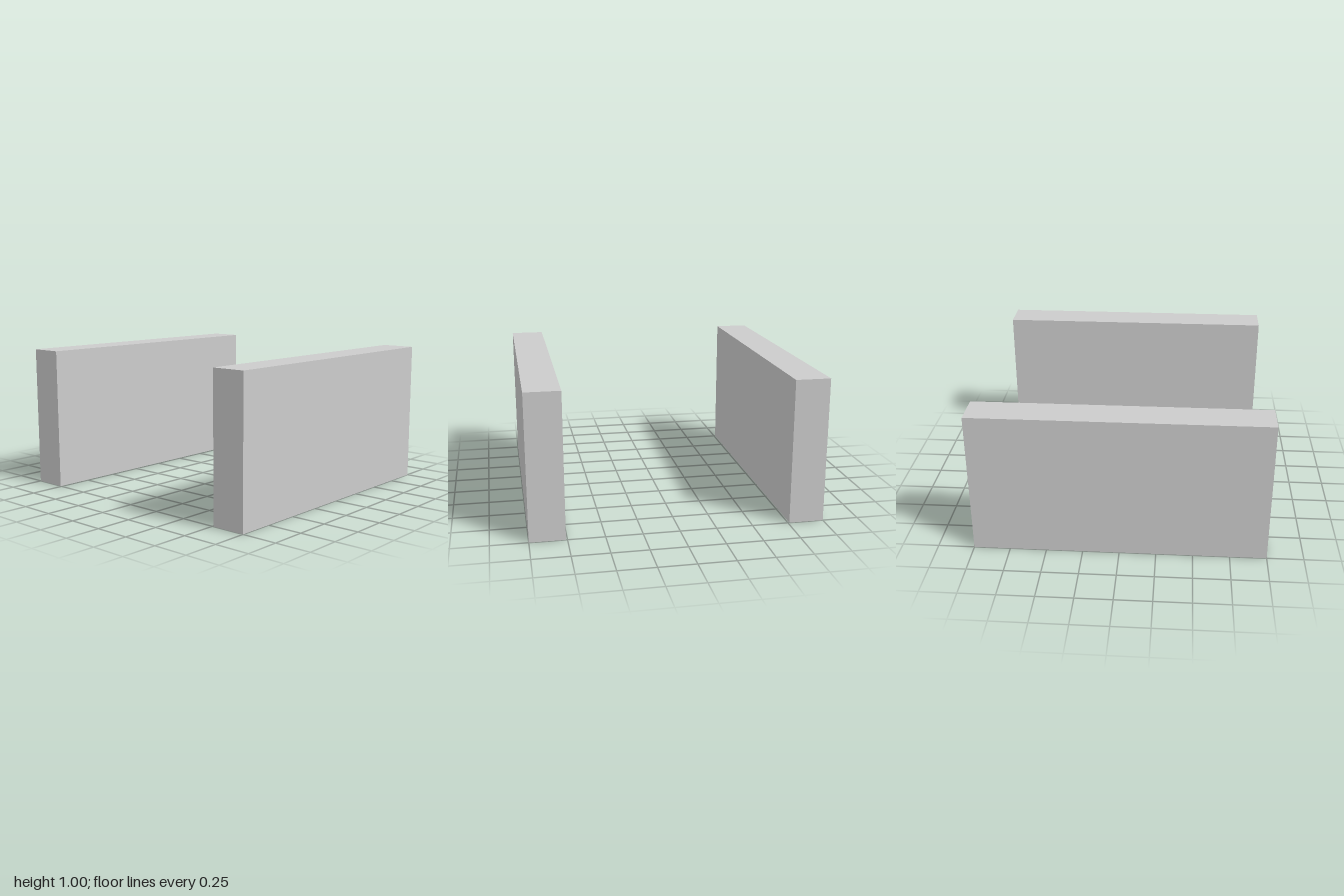
import * as THREE from 'three';

export function createModel() {
  const model = new THREE.Group();
  model.name = 'parallelWalls';

  const material = new THREE.MeshStandardMaterial({ color: 0xcccccc });
  const thickness = 0.24, height = 1, length = 2;
  const geometry = new THREE.BoxGeometry(thickness, height, length);

  // Two matching upright slabs, mirrored across x = 0
  for (const [name, side] of [['leftWall', 1], ['rightWall', -1]]) {
    const wall = new THREE.Mesh(geometry, material);
    wall.name = name;
    wall.position.set(side * (1 - thickness / 2), height / 2, 0);
    model.add(wall);
  }

  return model;
}
